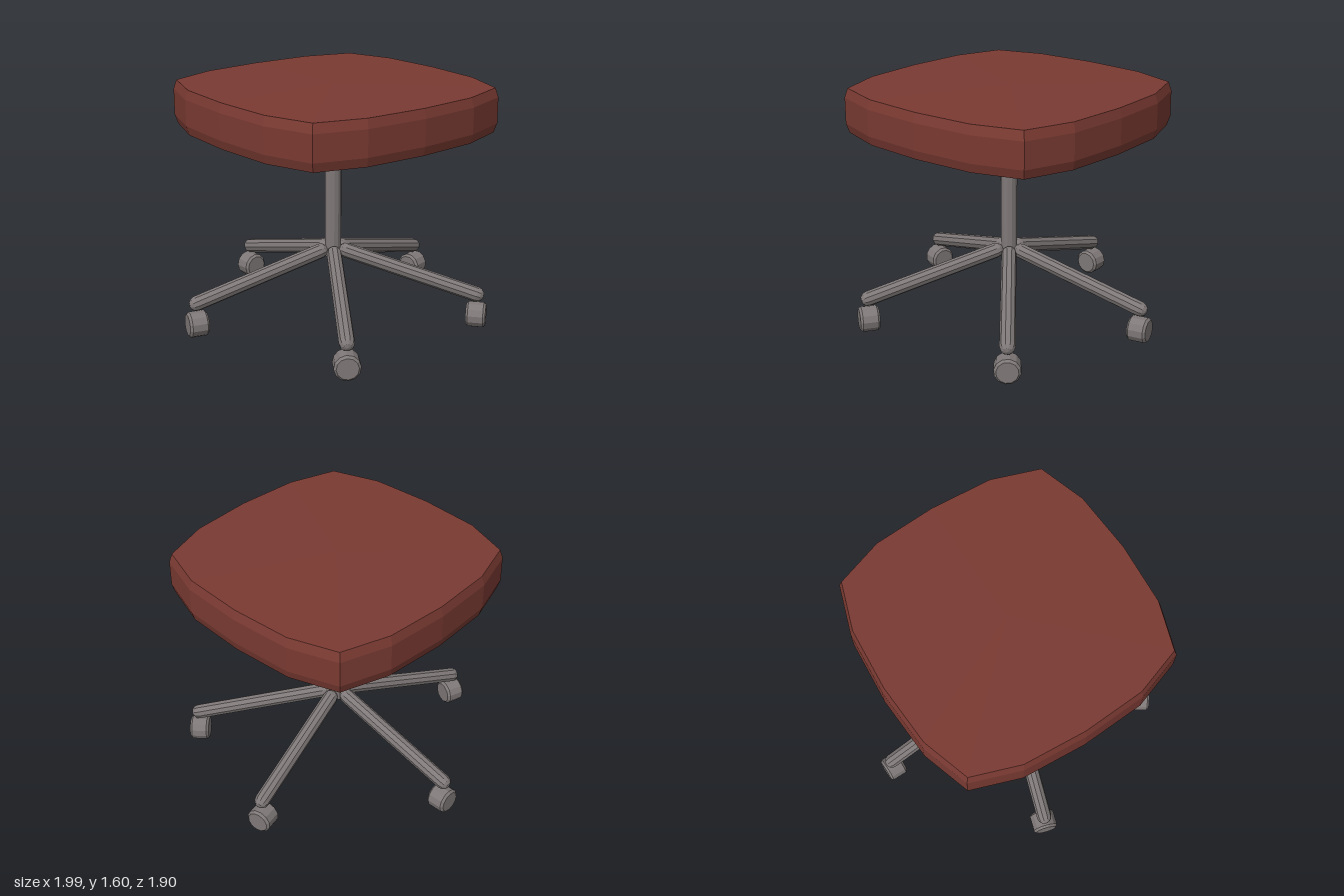
import * as THREE from 'three';

const flat = (name, color) => new THREE.MeshStandardMaterial({ name, color, flatShading: true });
const UP = new THREE.Vector3(0, 1, 0);

function addMesh(parent, name, geometry, material) {
  const mesh = new THREE.Mesh(geometry, material);
  mesh.name = name;
  parent.add(mesh);
  return mesh;
}

// Closed outline of the cushion: one quarter mirrored into a bulging square
function seatOutline() {
  const quarter = [[0.875, 0], [0.85, 0.42], [0.74, 0.74], [0.42, 0.845]];
  const points = [];
  for (let q = 0; q < 4; q++) {
    const run = q % 2 === 0
      ? quarter
      : [[0, 0.872], ...quarter.slice(1).reverse()];
    const sx = q === 0 || q === 3 ? 1 : -1;
    const sz = q < 2 ? 1 : -1;
    for (const [x, z] of run) points.push([x * sx, z * sz]);
  }
  return points;
}

// Cushion surfaces: group 0 is the fabric, group 1 the underside
function seatGeometry() {
  const outline = seatOutline();
  const n = outline.length;
  const rings = [[1.31, 0.98], [1.37, 1], [1.54, 1], [1.6, 0.98]];
  const positions = [];
  for (const [y, s] of rings) for (const [x, z] of outline) positions.push(x * s, y, z * s);
  const top = rings.length * n, bottom = top + 1;
  positions.push(0, 1.605, 0, 0, 1.305, 0);
  const fabric = [], under = [];
  for (let i = 0; i < n; i++) {
    const j = (i + 1) % n;
    for (let r = 0; r < rings.length - 1; r++) {
      const a = r * n + i, b = r * n + j;
      fabric.push(a, a + n, b, b, a + n, b + n);
    }
    const last = (rings.length - 1) * n;
    fabric.push(top, last + j, last + i);
    under.push(bottom, i, j);
  }
  const g = new THREE.BufferGeometry();
  g.setAttribute('position', new THREE.Float32BufferAttribute(positions, 3));
  g.setIndex([...fabric, ...under]);
  g.addGroup(0, fabric.length, 0);
  g.addGroup(fabric.length, under.length, 1);
  g.computeVertexNormals();
  return g;
}

export function createModel() {
  const model = new THREE.Group();
  model.name = 'stool';
  const fabric = flat('redFabric', 0x7a3a32);
  const metal = flat('greyMetal', 0x7f7878);
  const base = flat('darkUnderside', 0x5a5957);

  // Cushion
  addMesh(model, 'seat', seatGeometry(), [fabric, base]).position.z = 0.052;

  // Central post
  const hub = new THREE.Vector3(-0.005, 0, 0.055);
  const post = addMesh(model, 'post', new THREE.CylinderGeometry(0.055, 0.055, 0.88, 12), metal);
  post.position.set(hub.x, 0.875, hub.z);

  // Bevelled caster, axis along y before turning
  const profile = [[0, -0.065], [0.07, -0.065], [0.085, -0.05], [0.085, 0.05], [0.07, 0.065], [0, 0.065]];
  const casterGeometry = new THREE.LatheGeometry(profile.map(([x, y]) => new THREE.Vector2(x, y)), 12);

  // Five sloping legs, each ending above a caster
  const feet = [[-0.02, -0.89], [0.915, -0.163], [0.615, 0.795], [-0.535, 0.855], [-0.915, -0.215]];
  for (const [x, z] of feet) {
    const leg = new THREE.Group();
    leg.name = 'legWithCaster';
    model.add(leg);
    const out = new THREE.Vector3(x - hub.x, 0, z - hub.z).normalize();
    const start = hub.clone().addScaledVector(out, 0.09).setY(0.475);
    const end = new THREE.Vector3(x, 0.232, z);
    const along = end.clone().sub(start);
    const arm = addMesh(leg, 'leg', new THREE.CapsuleGeometry(0.05, along.length(), 3, 10), metal);
    arm.position.copy(start).add(end).multiplyScalar(0.5);
    arm.quaternion.setFromUnitVectors(UP, along.normalize());

    const caster = addMesh(leg, 'caster', casterGeometry, metal);
    caster.position.set(x, 0.09, z);
    caster.quaternion.setFromUnitVectors(UP, out);
  }

  // Stand the casters on the ground
  const box = new THREE.Box3().setFromObject(model, true);
  for (const part of model.children) part.position.y -= box.min.y;
  return model;
}
